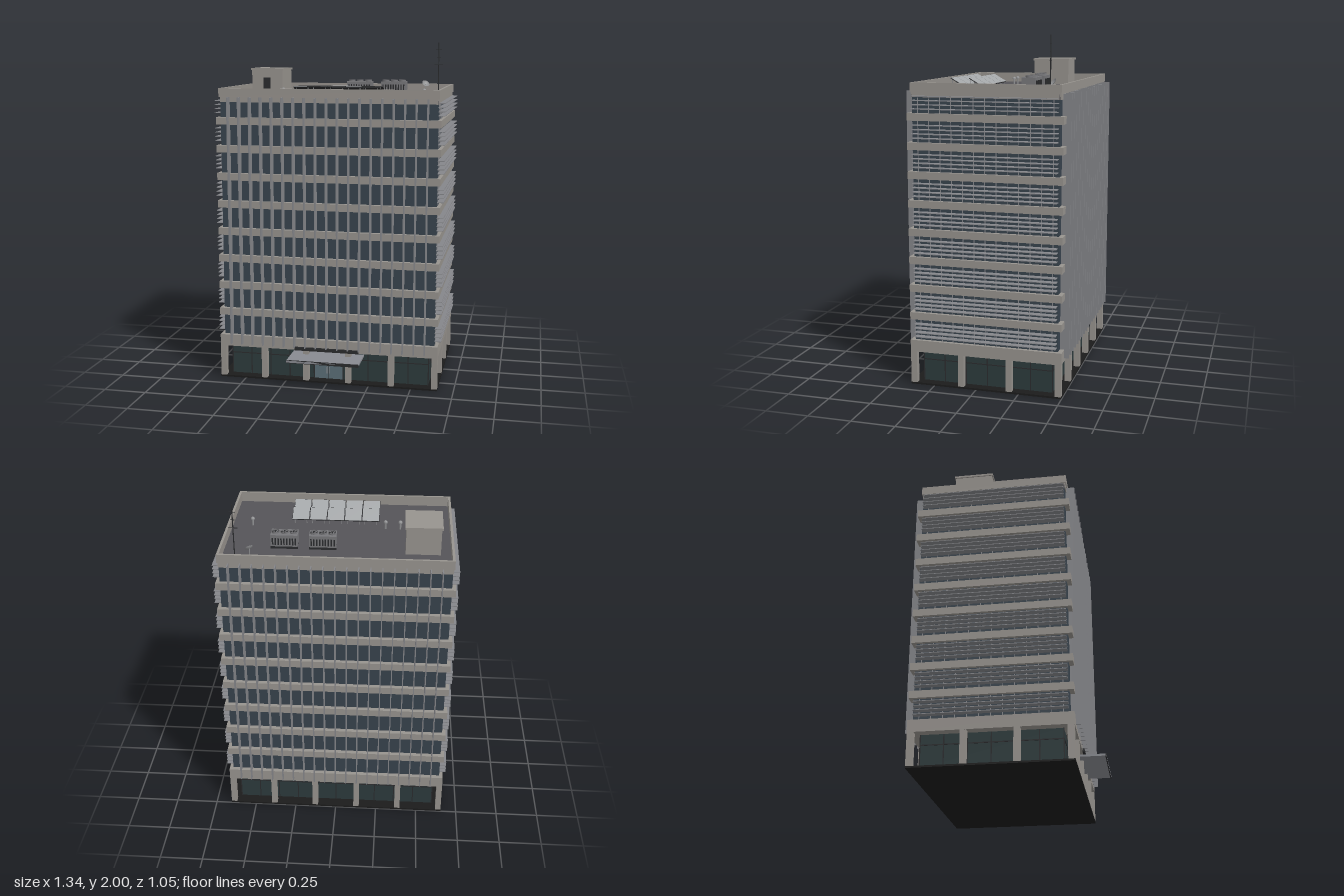
import * as THREE from 'three';

const mat = (color) => new THREE.MeshStandardMaterial({ color });
const M = {
  concrete: mat(0x97938e), glass: mat(0x38434d), lobby: mat(0x2c3a3c), fin: mat(0x85868a),
  roof: mat(0x555458), dark: mat(0x2a2b2d), base: mat(0x1b1b1b), canopy: mat(0x888a90),
  door: mat(0x5a6d76), panel: mat(0xa3a6a8), unit: mat(0x77777a), metal: mat(0x8f9092),
};

// Half sizes of the tower, measured from its own centre
const BAND_X = 0.655, BAND_Z = 0.445, GLASS_X = 0.634, GLASS_Z = 0.42;
const ROOF = 1.68, TOP = 1.74, FLOOR = 0.1632, FIRST = 0.388, BAND_H = 0.042;

function add(parent, name, geometry, material, x = 0, y = 0, z = 0) {
  const mesh = new THREE.Mesh(geometry, material);
  mesh.name = name;
  mesh.position.set(x, y, z);
  parent.add(mesh);
  return mesh;
}

// Box given by its centre in x and z and by its bottom and top in y
function box(parent, name, material, w, d, y0, y1, x = 0, z = 0) {
  return add(parent, name, new THREE.BoxGeometry(w, y1 - y0, d), material, x, (y0 + y1) / 2, z);
}

function rod(parent, name, material, r, y0, y1, x, z) {
  return add(parent, name, new THREE.CylinderGeometry(r, r, y1 - y0, 10), material, x, (y0 + y1) / 2, z);
}

function group(parent, name, x = 0, y = 0, z = 0) {
  const g = new THREE.Group();
  g.name = name;
  g.position.set(x, y, z);
  parent.add(g);
  return g;
}

// Ground floor: plinth, recessed glazing, columns, entrance
function buildGround(tower) {
  const g = group(tower, 'groundFloor');
  const gx = 0.598, gz = 0.383;
  box(g, 'plinth', M.base, BAND_X * 2, BAND_Z * 2, 0, 0.01);
  box(g, 'lobbyGlass', M.lobby, gx * 2, gz * 2, 0.01, 0.2);
  for (const s of [-1, 1]) {
    for (let i = 0; i <= 10; i++)
      box(g, 'lobbyMullion', M.dark, 0.006, 0.006, 0.01, 0.2, -gx + (i * gx) / 5, s * gz);
    for (let i = 0; i <= 6; i++)
      box(g, 'lobbyMullion', M.dark, 0.006, 0.006, 0.01, 0.2, s * gx, -gz + (i * gz) / 3);
    box(g, 'lobbyTransom', M.dark, gx * 2, 0.006, 0.135, 0.141, 0, s * gz);
    box(g, 'lobbyTransom', M.dark, 0.006, gz * 2, 0.135, 0.141, s * gx, 0);
    for (let i = 0; i < 6; i++)
      box(g, 'column', M.concrete, 0.034, 0.036, 0.01, 0.2, -0.638 + i * 0.2552, s * 0.426);
    for (const z of [-0.142, 0.142])
      box(g, 'sideColumn', M.concrete, 0.036, 0.034, 0.01, 0.2, s * 0.636, z);
    // Entrance door leaf and handle
    box(g, 'doorLeaf', M.door, 0.082, 0.006, 0.012, 0.118, s * 0.043, gz + 0.005);
    box(g, 'doorHandle', M.metal, 0.004, 0.008, 0.045, 0.085, s * 0.008, gz + 0.012);
    box(g, 'doorPost', M.dark, 0.006, 0.012, 0.01, 0.124, s * 0.088, gz + 0.004);
  }
  box(g, 'doorHead', M.dark, 0.182, 0.012, 0.118, 0.124, 0, gz + 0.004);
  box(g, 'canopy', M.canopy, 0.428, 0.195, 0.16, 0.172, 0, 0.48);
  box(g, 'canopyEdge', M.dark, 0.43, 0.006, 0.157, 0.174, 0, 0.5745);
  box(g, 'entrancePanel', M.dark, 0.385, 0.012, 0.196, 0.216, 0, BAND_Z + 0.004);
}

// Office floors: glass core, concrete bands, fins and louvres
function buildFacade(tower) {
  const g = group(tower, 'facade');
  box(g, 'glassCore', M.glass, GLASS_X * 2, GLASS_Z * 2, 0.25, ROOF - 0.01);
  box(g, 'baseBand', M.concrete, BAND_X * 2, BAND_Z * 2, 0.196, 0.265);
  for (let k = 0; k < 8; k++) {
    const y = FIRST + k * FLOOR;
    box(g, 'floorBand', M.concrete, BAND_X * 2, BAND_Z * 2, y, y + BAND_H);
  }
  for (const s of [-1, 1]) {
    // Vertical fins on the long sides
    for (let i = -9; i <= 9; i++)
      box(g, 'fin', M.fin, 0.006, 0.052, 0.215, 1.69, i * 0.0645, s * 0.4465);
    // Mullions and horizontal louvres on the short sides
    for (let i = -6; i <= 6; i++)
      box(g, 'mullion', M.fin, 0.006, 0.004, 0.26, 1.69, s * (GLASS_X + 0.001), i * 0.0645);
    for (let k = 0; k < 9; k++) {
      const y0 = k === 0 ? 0.265 : FIRST + (k - 1) * FLOOR + BAND_H;
      const y1 = k === 8 ? 1.69 : FIRST + k * FLOOR;
      for (let j = 1; j <= 4; j++) {
        const y = y0 + ((y1 - y0) * j) / 5;
        box(g, 'louvre', M.fin, 0.038, 0.83, y - 0.002, y + 0.002, s * 0.653, 0);
      }
    }
  }
}

function buildSolarPanels(roof) {
  const tilt = Math.PI / 6;
  for (const z of [0.16, 0.273]) {
    for (let i = 0; i < 5; i++) {
      const p = group(roof, 'solarPanel', -0.172 + i * 0.1025, 1.726, z);
      const tray = group(p, 'panelTray');
      tray.rotation.x = -tilt;
      box(tray, 'panelFrame', M.dark, 0.1, 0.09, -0.003, 0.001);
      box(tray, 'panelFace', M.panel, 0.096, 0.086, 0.001, 0.003);
      for (const x of [-0.035, 0.035]) {
        rod(p, 'panelLeg', M.metal, 0.002, ROOF - 1.726, 0.018, x, 0.034);
        rod(p, 'panelLeg', M.metal, 0.002, ROOF - 1.726, -0.02, x, -0.034);
      }
    }
  }
}

function buildCooler(roof, x) {
  const u = group(roof, 'coolingUnit', x, 0, -0.178);
  box(u, 'coolerBody', M.unit, 0.152, 0.082, 1.695, 1.763);
  for (const s of [-1, 1]) {
    box(u, 'coolerSkid', M.dark, 0.152, 0.01, ROOF, 1.695, 0, s * 0.033);
    for (let i = 0; i < 9; i++)
      box(u, 'coolerSlat', M.dark, 0.008, 0.004, 1.705, 1.745, -0.064 + i * 0.016, s * 0.041);
  }
  for (const fx of [-0.051, 0, 0.051]) {
    const ring = add(u, 'fanRing', new THREE.CylinderGeometry(0.022, 0.022, 0.01, 20, 1, true), M.unit, fx, 1.768, 0);
    ring.material = M.unit.clone();
    ring.material.side = THREE.DoubleSide;
    rod(u, 'fanWell', M.dark, 0.021, 1.763, 1.766, fx, 0);
    for (let b = 0; b < 2; b++)
      box(u, 'fanBlade', M.unit, 0.04, 0.005, 1.766, 1.769, fx, 0).rotation.y = Math.PI / 4 + (b * Math.PI) / 2;
    rod(u, 'fanHub', M.dark, 0.005, 1.766, 1.771, fx, 0);
  }
}

// Roof deck, parapet, stair house and equipment
function buildRoof(tower) {
  const g = group(tower, 'roof');
  box(g, 'roofDeck', M.roof, 1.27, 0.84, ROOF - 0.02, ROOF);
  for (const s of [-1, 1]) {
    box(g, 'parapet', M.concrete, 1.286, 0.014, 1.69, TOP, 0, s * 0.4225);
    box(g, 'parapet', M.concrete, 0.014, 0.831, 1.69, TOP, s * 0.636, 0);
    box(g, 'parapetFoot', M.concrete, 1.27, 0.008, ROOF - 0.02, 1.69, 0, s * 0.4215);
    box(g, 'parapetFoot', M.concrete, 0.008, 0.831, ROOF - 0.02, 1.69, s * 0.635, 0);
  }

  const h = group(g, 'stairHouse', -0.475, 0, -0.132);
  box(h, 'stairHouseWalls', M.concrete, 0.194, 0.22, ROOF, 1.832);
  box(h, 'stairHouseRoof', M.concrete, 0.208, 0.232, 1.832, 1.844);
  box(h, 'stairHouseDoor', M.dark, 0.046, 0.006, ROOF, 1.787, -0.002, 0.111);

  buildSolarPanels(g);
  buildCooler(g, 0.083);
  buildCooler(g, 0.298);

  for (const x of [-0.345, -0.26, 0.515]) {
    rod(g, 'ventPipe', M.metal, 0.006, ROOF, 1.722, x, 0.08);
    add(g, 'ventCap', new THREE.SphereGeometry(0.012, 14, 8, 0, Math.PI * 2, 0, Math.PI / 2), M.metal, x, 1.72, 0.08);
    rod(g, 'ventCapBase', M.metal, 0.012, 1.717, 1.72, x, 0.08);
  }

  // Dish: a shallow bowl turned from a curve
  const bowl = [0, 0.3, 0.6, 0.85, 1].map((t) => new THREE.Vector2(t * 0.024, t * t * 0.009));
  const dishMat = mat(0x8f9092);
  dishMat.side = THREE.DoubleSide;
  rod(g, 'dishPost', M.metal, 0.003, ROOF, 1.74, 0.472, -0.348);
  const dish = add(g, 'dish', new THREE.LatheGeometry(bowl, 20), dishMat, 0.472, 1.74, -0.348);
  dish.rotation.set(0.75, 0, -0.45);

  // Mast with cross bars
  const m = group(g, 'mast', 0.555, 0, -0.348);
  rod(m, 'mastFoot', M.dark, 0.008, ROOF, 1.7, 0, 0);
  rod(m, 'mastPole', M.dark, 0.003, ROOF, 2, 0, 0);
  for (const [y, w] of [[1.863, 0.052], [1.91, 0.024], [1.955, 0.036]])
    box(m, 'mastBar', M.dark, w, 0.003, y - 0.0015, y + 0.0015);
}

export function createModel() {
  const model = new THREE.Group();
  model.name = 'officeBuilding';
  const tower = group(model, 'tower', 0, 0, -0.0525);
  buildGround(tower);
  buildFacade(tower);
  buildRoof(tower);
  return model;
}
